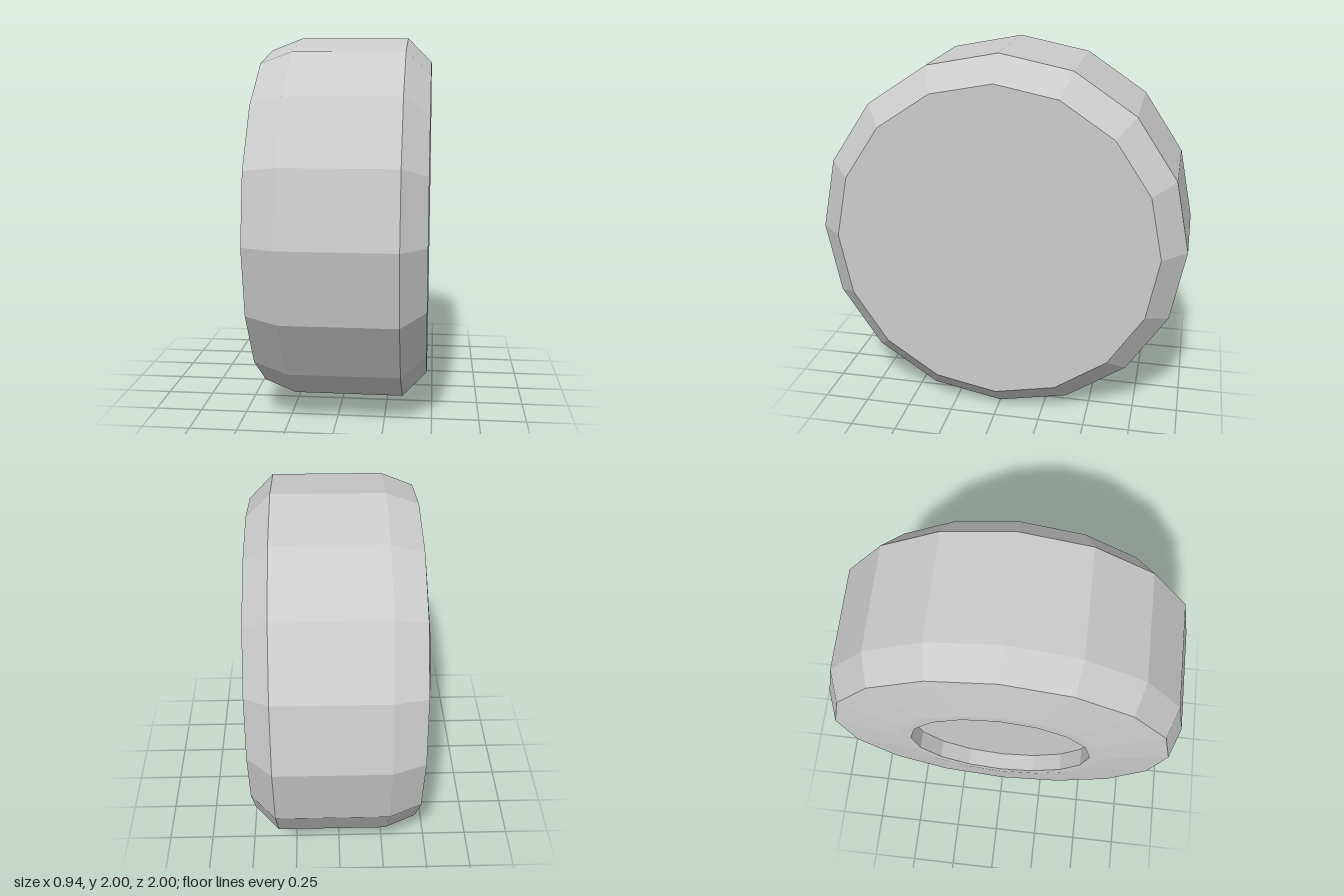
import * as THREE from 'three';

export function createModel() {
  const group = new THREE.Group();
  group.name = 'wheel';
  const material = new THREE.MeshStandardMaterial({ color: 0xcccccc, flatShading: true });

  // Each part is a 16-sided turned profile of [radius, x], listed from -x to +x
  const turned = (name, profile) => {
    const points = profile.map(([r, x]) => new THREE.Vector2(r, x));
    const geometry = new THREE.LatheGeometry(points, 16);
    geometry.rotateZ(-Math.PI / 2); // lay the axle along x
    const mesh = new THREE.Mesh(geometry, material);
    mesh.name = name;
    mesh.position.y = 1;
    group.add(mesh);
  };

  // Recessed hub socket on the right side
  turned('hubRecess', [[0, -0.375], [0.5, -0.375], [0.5, -0.47]]);
  // Slightly domed side wall around the recess
  turned('sideWall', [[0.5, -0.47], [0.56, -0.47], [0.935, -0.42]]);
  // Tread with a shallow shoulder on one side and a bevel on the other
  turned('tread', [[0.935, -0.42], [1, -0.25], [1, 0.34], [0.87, 0.47]]);
  // Flat closed face on the left side
  turned('flatFace', [[0.87, 0.47], [0, 0.47]]);

  return group;
}
